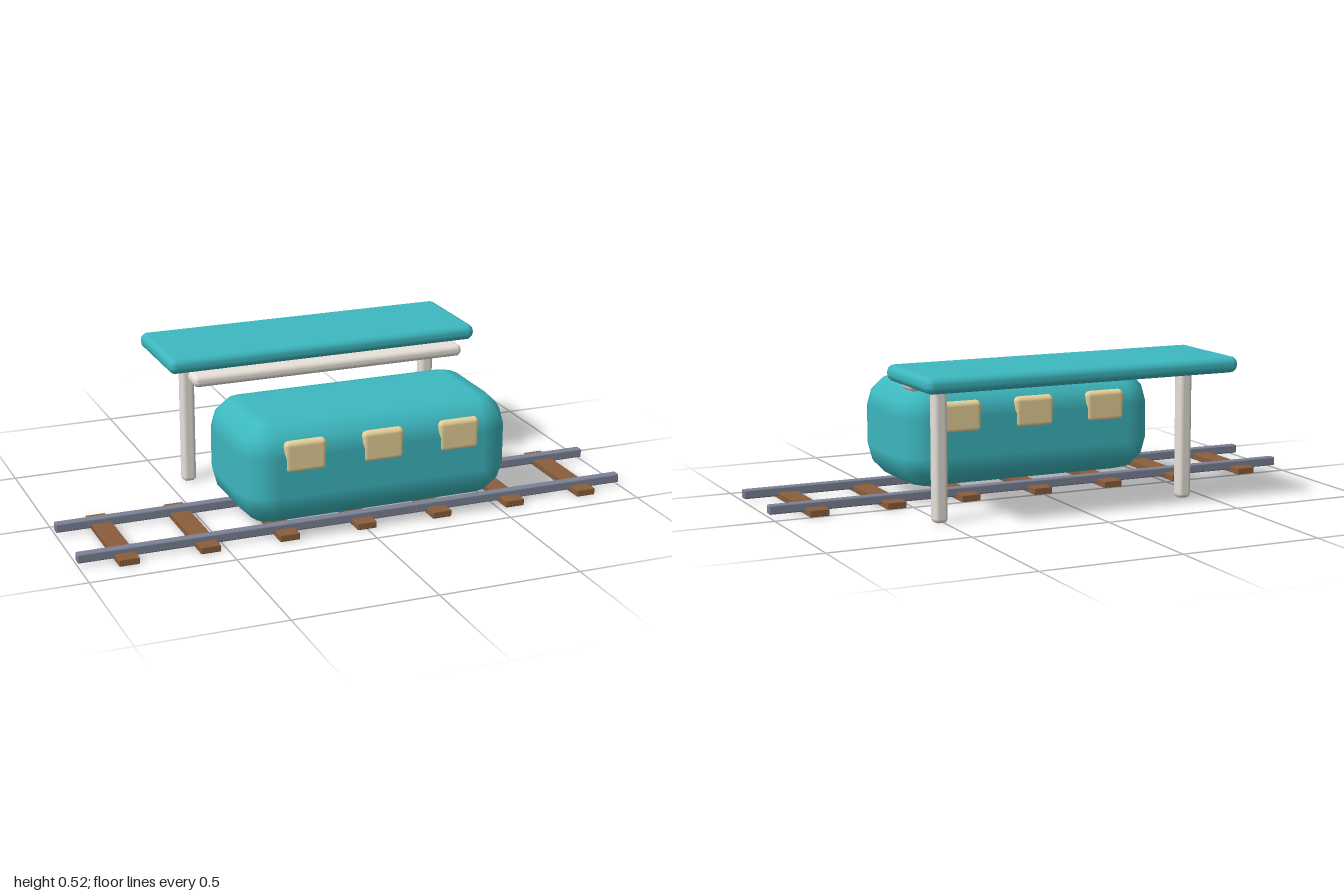
import * as THREE from 'three';

const paint = (color) => new THREE.MeshStandardMaterial({ color });

// Box with rounded edges: an ellipsoid-style grid whose octants are pushed apart.
function softBox(w, h, d, r, steps = 3) {
  const pos = [], nor = [], index = [];
  const bx = w / 2 - r, by = h / 2 - r, bz = d / 2 - r;
  const cols = 4 * (steps + 1);
  const quarter = Math.PI / 2;

  // One ring of points at polar angle phi; the caps collapse onto the axis.
  const ring = (phi, sy, cap) => {
    for (let j = 0; j <= cols; j++) {
      const q = Math.floor((j % cols) / (steps + 1));
      const theta = (q + ((j % cols) % (steps + 1)) / steps) * quarter;
      const sx = q === 0 || q === 3 ? 1 : -1;
      const sz = q < 2 ? 1 : -1;
      const nx = Math.sin(phi) * Math.cos(theta);
      const ny = Math.cos(phi);
      const nz = Math.sin(phi) * Math.sin(theta);
      nor.push(nx, ny, nz);
      if (cap) pos.push(0, sy * h / 2, 0);
      else pos.push(sx * bx + nx * r, sy * by + ny * r, sz * bz + nz * r);
    }
  };
  ring(0, 1, true);
  for (let i = 0; i <= steps; i++) ring((i / steps) * quarter, 1, false);
  for (let i = 0; i <= steps; i++) ring((1 + i / steps) * quarter, -1, false);
  ring(Math.PI, -1, true);

  const rows = 2 * steps + 3;
  for (let i = 0; i < rows; i++) {
    for (let j = 0; j < cols; j++) {
      const a = i * (cols + 1) + j, c = a + cols + 1;
      index.push(a, a + 1, c, a + 1, c + 1, c);
    }
  }
  const geometry = new THREE.BufferGeometry();
  geometry.setAttribute('position', new THREE.Float32BufferAttribute(pos, 3));
  geometry.setAttribute('normal', new THREE.Float32BufferAttribute(nor, 3));
  geometry.setIndex(index);
  return geometry;
}

export function createModel() {
  const model = new THREE.Group();
  model.name = 'trainStop';
  const teal = paint(0x3db8c0), cream = paint(0xe8e2da), glass = paint(0xe8d29a);
  const wood = paint(0x8b5e3c), steel = paint(0x7c8296);

  // Adds a soft box given its [min, max] extents on each axis.
  const add = (name, material, [x0, x1], [y0, y1], [z0, z1], r) => {
    const mesh = new THREE.Mesh(softBox(x1 - x0, y1 - y0, z1 - z0, r), material);
    mesh.position.set((x0 + x1) / 2, (y0 + y1) / 2, (z0 + z1) / 2);
    mesh.name = name;
    model.add(mesh);
  };
  const around = (c, size) => [c - size / 2, c + size / 2];

  // Track: seven ties and two rails
  for (let i = -3; i <= 3; i++) {
    add('tie', wood, around(i * 0.28, 0.07), [0, 0.024], [0, 0.416], 0.003);
  }
  for (const z of [0.07, 0.349]) {
    add('rail', steel, [-1, 1], [0.01, 0.042], around(z, 0.032), 0.005);
  }

  // Carriage with three windows on each side
  const cx = 0.046;
  add('carriageBody', teal, around(cx, 0.978), [0.05, 0.421], [-0.024, 0.442], 0.117);
  for (const dx of [-0.279, 0, 0.279]) {
    add('frontWindow', glass, around(cx + dx, 0.152), [0.25, 0.362], [0.396, 0.446], 0.018);
    add('backWindow', glass, around(cx + dx, 0.152), [0.25, 0.362], [-0.029, 0.021], 0.018);
  }

  // Platform shelter: posts, roof and front beam
  for (const side of [-1, 1]) {
    add('shelterPost', cream, around(cx + side * 0.465, 0.05), [0, 0.48], around(-0.257, 0.05), 0.016);
  }
  add('shelterRoof', teal, around(cx, 1.162), [0.462, 0.519], [-0.444, -0.071], 0.026);
  add('shelterBeam', cream, around(cx, 1.018), [0.422, 0.465], [-0.116, -0.025], 0.019);

  return model;
}
